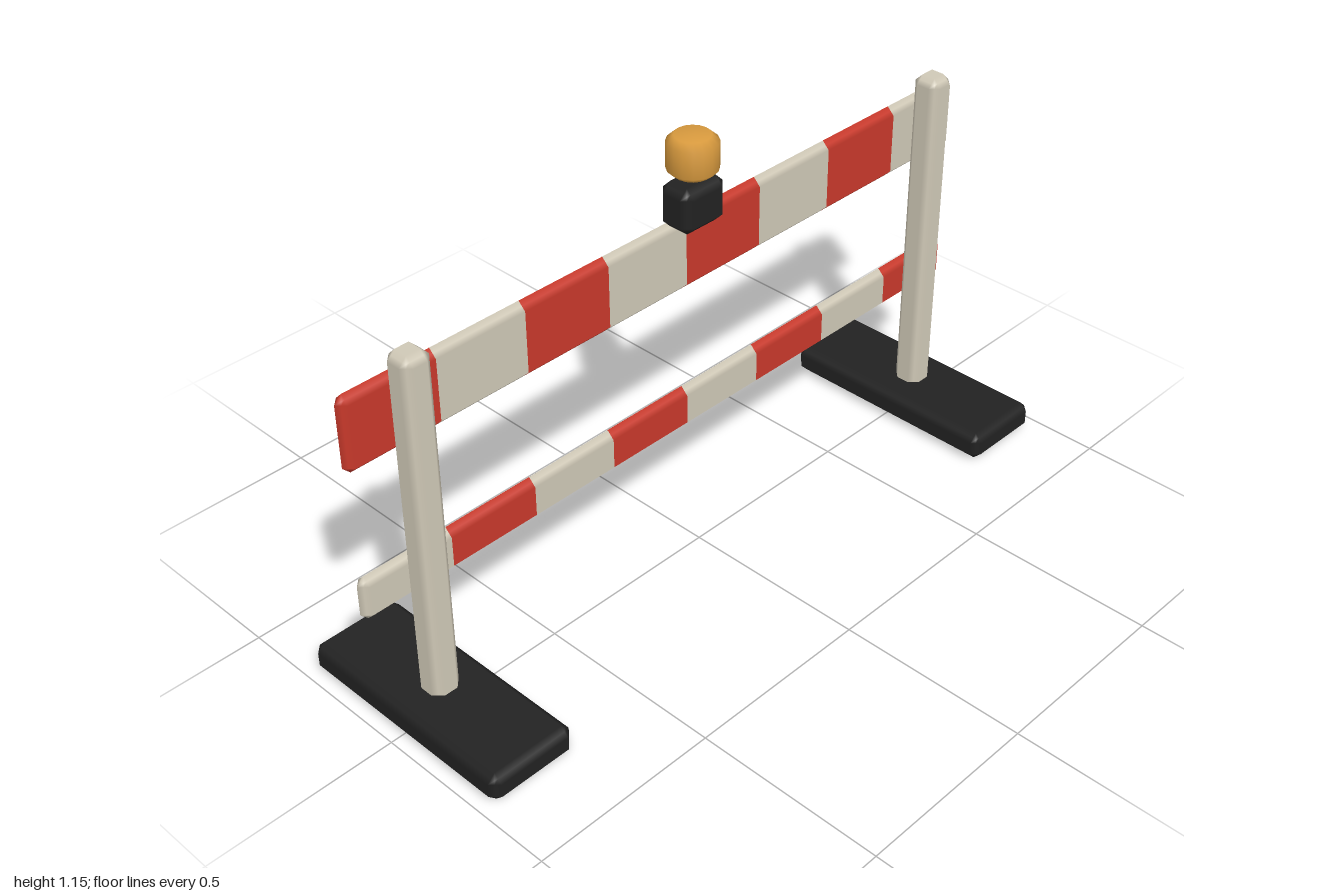
import * as THREE from 'three';

const material = (name, color) => {
  const m = new THREE.MeshStandardMaterial({ color });
  m.name = name;
  return m;
};

// Box with chamfered edges and softened normals; cuts adds extra rings along x.
function chamferBox(w, h, d, c, cuts = []) {
  const half = [w / 2, h / 2, d / 2];
  const inner = half.map((s) => [c - s, s - c]);
  inner[0].splice(1, 0, ...cuts);
  const n = inner.map((list) => list.length + 1);
  const geo = new THREE.BoxGeometry(1, 1, 1, ...n);
  const pos = geo.attributes.position, nor = geo.attributes.normal;
  for (let i = 0; i < pos.count; i++) {
    const step = [0, 1, 2].map((a) => Math.round((pos.getComponent(i, a) + 0.5) * n[a]));
    const outer = step.map((s, a) => (s === 0 ? -1 : s === n[a] ? 1 : 0));
    const m = outer.filter(Boolean).length;
    step.forEach((s, a) => {
      const full = half[a] - (c * (m - 1)) / m;
      pos.setComponent(i, a, outer[a] ? outer[a] * full : inner[a][s - 1]);
      nor.setComponent(i, a, outer[a] / Math.sqrt(m));
    });
  }
  return geo;
}

// Splits a board into alternating stripes as two material groups.
function stripedBoard(height) {
  const cuts = [-0.75, -0.5, -0.25, 0, 0.25, 0.5, 0.75];
  const geo = chamferBox(2, height, 0.04, 0.02, cuts);
  const pos = geo.attributes.position, idx = geo.index.array;
  const lists = [[], []];
  for (let i = 0; i < idx.length; i += 3) {
    const tri = [idx[i], idx[i + 1], idx[i + 2]];
    const x = tri.reduce((sum, v) => sum + pos.getX(v), 0) / 3;
    lists[Math.floor((x + 1) / 0.25) % 2].push(...tri);
  }
  geo.setIndex([...lists[0], ...lists[1]]);
  geo.clearGroups();
  geo.addGroup(0, lists[0].length, 0);
  geo.addGroup(lists[0].length, lists[1].length, 1);
  return geo;
}

export function createModel() {
  const group = new THREE.Group();
  group.name = 'roadBarrier';
  const red = material('red', 0xc8392b);
  const cream = material('cream', 0xcfc8b6);
  const black = material('black', 0x222222);
  const amber = material('amber', 0xd89a3e);

  const add = (name, geo, mat, x, y, z) => {
    const mesh = new THREE.Mesh(geo, mat);
    mesh.name = name;
    mesh.position.set(x, y, z);
    group.add(mesh);
  };

  // Feet and posts
  for (const [side, s] of [['left', 1], ['right', -1]]) {
    add(side + 'Foot', chamferBox(0.24, 0.08, 0.64, 0.022), black, s * 0.85, 0.04, 0);
    add(side + 'Post', chamferBox(0.08, 0.96, 0.08, 0.022), cream, s * 0.85, 0.52, 0);
  }

  // Striped boards behind the posts
  add('upperBoard', stripedBoard(0.2), [red, cream], 0, 0.825, -0.06);
  add('lowerBoard', stripedBoard(0.12), [cream, red], 0, 0.383, -0.06);

  // Warning lamp
  add('lampBase', chamferBox(0.14, 0.12, 0.1, 0.024), black, 0, 0.981, -0.02);
  const profile = [[0, 0], [0.044, 0], [0.062, 0.016], [0.062, 0.084], [0.044, 0.1], [0, 0.1]]
    .map(([r, y]) => new THREE.Vector2(r, y));
  add('lampLens', new THREE.LatheGeometry(profile, 16), amber, 0, 1.052, -0.02);

  return group;
}
